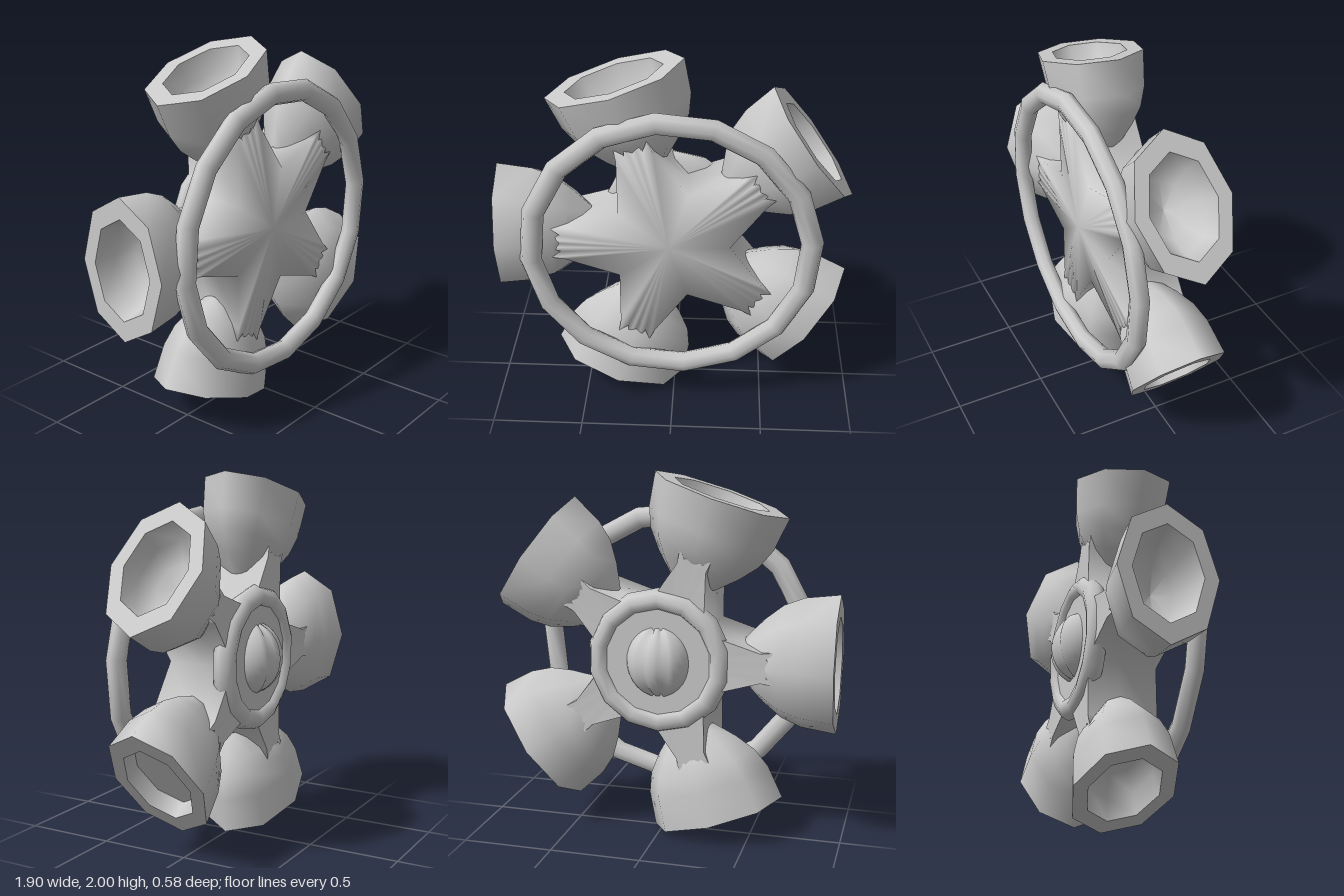
import * as THREE from 'three';
import { mergeVertices } from 'three/addons/utils/BufferGeometryUtils.js';

const material = new THREE.MeshStandardMaterial({ color: 0xcccccc, side: THREE.DoubleSide });
const ARMS = 5;
const armAngle = (i) => Math.PI + (i * Math.PI * 2) / ARMS;

function add(parent, name, geometry) {
  const mesh = new THREE.Mesh(geometry, material);
  mesh.name = name;
  parent.add(mesh);
  return mesh;
}

// Star outline with toothed tips: each arm is a short list of [along, across] points
function starLoop(arm, valley, z) {
  const loop = [];
  for (let i = 0; i < ARMS; i++) {
    const a = armAngle(i), c = Math.cos(a), s = Math.sin(a);
    for (const [r, t] of arm) loop.push([r * c - t * s, r * s + t * c, z]);
    const v = a + Math.PI / ARMS;
    loop.push([valley * Math.cos(v), valley * Math.sin(v), z]);
  }
  return loop;
}

// Join coincident corners and shade smoothly
function smooth(geometry) {
  geometry.deleteAttribute('normal');
  geometry.deleteAttribute('uv');
  const welded = mergeVertices(geometry);
  welded.computeVertexNormals();
  return welded;
}

// Smooth skin over a run of loops, front to back
function skin(loops) {
  const pos = [];
  for (let k = 0; k < loops.length - 1; k++) {
    const f = loops[k], b = loops[k + 1], n = f.length;
    for (let i = 0; i < n; i++) {
      const j = (i + 1) % n;
      pos.push(...f[i], ...b[i], ...f[j], ...f[j], ...b[i], ...b[j]);
    }
  }
  const g = new THREE.BufferGeometry();
  g.setAttribute('position', new THREE.Float32BufferAttribute(pos, 3));
  return smooth(g);
}

const lathe = (points, sides) =>
  new THREE.LatheGeometry(points.map(([r, y]) => new THREE.Vector2(r, y)), sides);

// Eight-sided oval surface around the x axis
function ovalLathe(points) {
  const g = lathe(points, 8);
  g.rotateZ(-Math.PI / 2);
  g.scale(1, 1, 0.69);
  return g;
}

// Cup opening outward along +x, its neck notched front and back to take a star arm
function makeCup(capped) {
  const cup = new THREE.Group();
  const shell = ovalLathe([[0.127, 0.43], [0.23, 0.53], [0.31, 0.63], [0.355, 0.74], [0.38, 0.929]]);
  const p = shell.attributes.position;
  for (let i = 0; i < p.count; i++) {
    if (Math.abs(p.getY(i)) < 0.01 && p.getX(i) < 0.6) {
      p.setX(i, 0.57);
      p.setZ(i, Math.sign(p.getZ(i)) * 0.18);
    }
  }
  add(cup, 'cupShell', smooth(shell));
  add(cup, 'cupLip', ovalLathe([[0.38, 0.929], [0.268, 0.929]]));
  if (capped) {
    add(cup, 'cupBowl', ovalLathe([[0.268, 0.929], [0.262, 0.83]]));
    add(cup, 'cupFloor', ovalLathe([[0.262, 0.83], [0, 0.83]]));
  } else {
    add(cup, 'cupBowl', ovalLathe([[0.268, 0.929], [0.24, 0.81], [0.15, 0.72], [0, 0.68]]));
  }
  cup.position.z = 0.005;
  return cup;
}

export function createModel() {
  const model = new THREE.Group();
  const body = new THREE.Group();
  body.name = 'body';
  body.position.set(-0.026, 1, 0);
  model.add(body);

  // Toothed star body with an almost flat face, narrowing towards the back
  const frontArm = [[0.56, -0.1], [0.63, -0.09], [0.58, -0.05], [0.66, -0.025], [0.59, 0],
    [0.66, 0.025], [0.58, 0.05], [0.63, 0.09], [0.56, 0.1]];
  const backArm = [[0.54, -0.08], [0.62, -0.09], [0.57, -0.05], [0.59, -0.03], [0.64, 0],
    [0.59, 0.03], [0.57, 0.05], [0.62, 0.09], [0.54, 0.08]];
  const centre = (z) => starLoop(frontArm.map(() => [0, 0]), 0, z);
  const front = starLoop(frontArm, 0.33, 0.195);
  const middle = starLoop(frontArm.map(([r, t]) => [r - 0.06, t * 0.9]), 0.32, 0);
  const back = starLoop(backArm, 0.29, -0.17);
  add(body, 'starFront', skin([centre(0.22), front, middle, back]));
  add(body, 'starBack', skin([back, centre(-0.16)]));

  // Five cups around the star, the lower left one closed by a floor
  for (let i = 0; i < ARMS; i++) {
    const cup = makeCup(i === 2);
    cup.name = 'cup' + (i + 1);
    cup.rotation.z = armAngle(i);
    body.add(cup);
  }

  // Front hoop
  const hoop = add(body, 'frontHoop', new THREE.TorusGeometry(0.752, 0.06, 8, 16));
  hoop.position.set(0.011, 0, 0.24);
  hoop.rotation.z = 0.096;
  hoop.scale.z = 0.83;

  // Rear hub: rounded rim around a sunken disc
  const hub = new THREE.Group();
  hub.name = 'rearHub';
  hub.position.x = 0.014;
  hub.rotation.x = -Math.PI / 2;
  body.add(hub);
  add(hub, 'hubRim', lathe([[0.3, 0.09], [0.375, 0.1], [0.4, 0.14], [0.38, 0.185],
    [0.34, 0.205], [0.3, 0.195], [0.285, 0.165]], 14));
  add(hub, 'hubDisc', lathe([[0.29, 0.175], [0, 0.175]], 14));

  // Ball in the hub: two lobes with an upright lens set in a groove between them
  const ball = new THREE.SphereGeometry(1, 36, 16);
  const p = ball.attributes.position, v = new THREE.Vector3();
  for (let i = 0; i < p.count; i++) {
    v.fromBufferAttribute(p, i);
    const longitude = Math.abs(Math.atan2(v.x, -v.z));
    if (longitude < 0.4 && Math.abs(v.y) < 0.97) v.multiplyScalar(longitude < 0.3 ? 0.97 : 0.9);
    p.setXYZ(i, v.x, v.y, v.z);
  }
  const eye = add(body, 'hubBall', smooth(ball));
  eye.scale.set(0.18, 0.2, 0.17);
  eye.position.set(0.014, 0, -0.125);

  return model;
}
